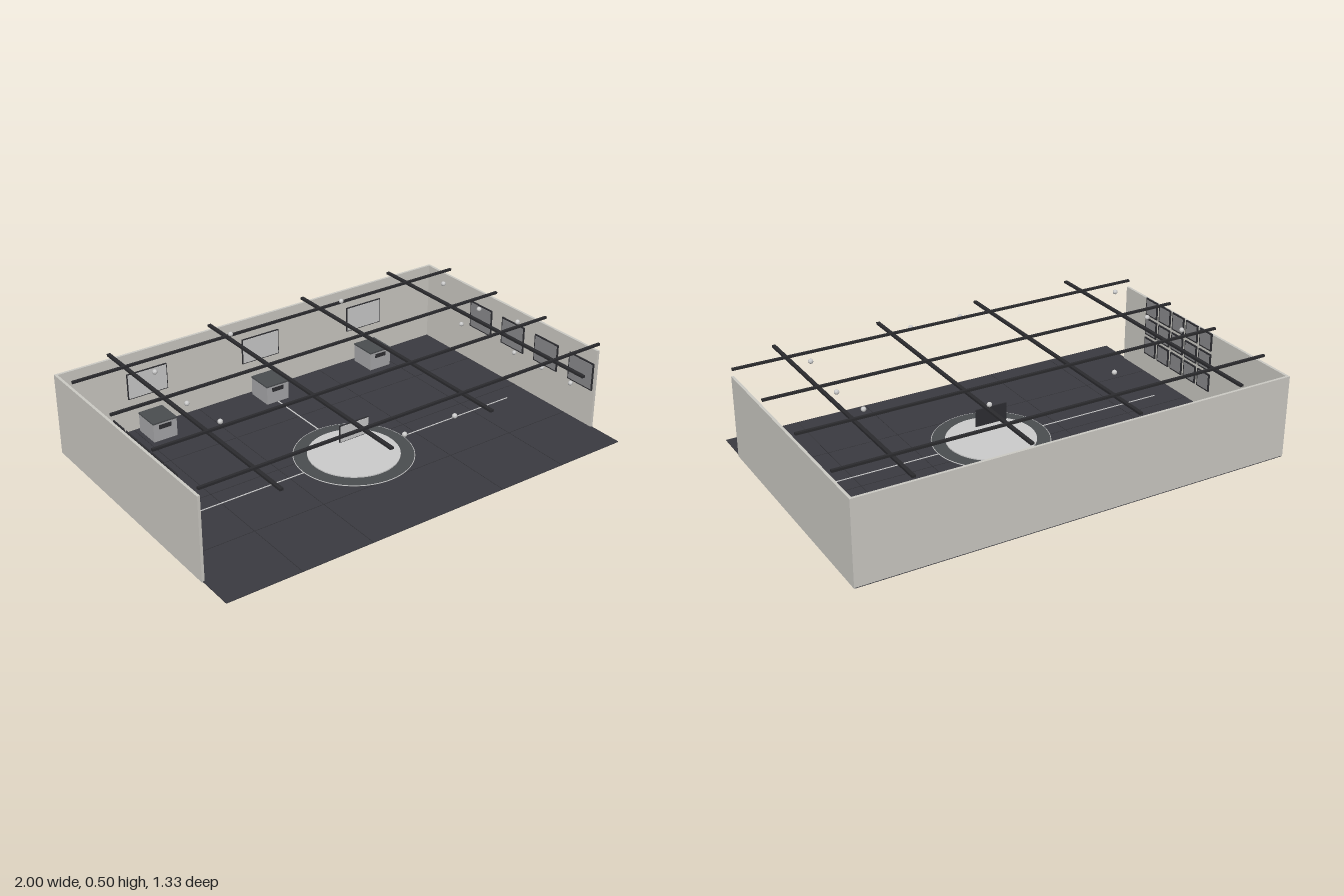
import * as THREE from 'three';

export function createModel() {
  const root = new THREE.Group();
  const mat = (color, flatShading = false) => new THREE.MeshStandardMaterial({ color, flatShading });
  const wallMat = mat(0xcccac4), floorMat = mat(0x3a3a40), seamMat = mat(0x303035);
  const beamMat = mat(0x2b2b2e), frameMat = mat(0x2e2e32), screenMat = mat(0xe0e0e0);
  const ringMat = mat(0x4a4d50), paleMat = mat(0xcccccc), consoleMat = mat(0xa8a8aa);
  const panelMat = mat(0x8a8a8c), bulbMat = mat(0xcccccc, true);

  const add = (name, geometry, material, x, y, z, parent = root) => {
    const mesh = new THREE.Mesh(geometry, material);
    mesh.name = name;
    mesh.position.set(x, y, z);
    parent.add(mesh);
    return mesh;
  };
  const box = (name, m, w, h, d, x, y, z, parent) =>
    add(name, new THREE.BoxGeometry(w, h, d), m, x, y, z, parent);

  const CZ = 0.083; // centre of the display area

  // Floor with tile seams
  box('floor', floorMat, 1.99, 0.003, 1.326, 0, 0.0015, 0);
  for (const x of [-0.66, -0.33, 0.33, 0.66]) box('floorSeam', seamMat, 0.003, 0.0006, 1.32, x, 0.0031, 0);
  for (const z of [-0.33, 0, 0.33]) box('floorSeam', seamMat, 1.98, 0.0006, 0.003, 0, 0.0031, z);

  // Walls
  box('backWall', wallMat, 2, 0.375, 0.012, 0, 0.1875, -0.657);
  for (const s of [-1, 1]) box('sideWall', wallMat, 0.012, 0.375, 1.151, s * 0.994, 0.1875, -0.0755);

  // Ceiling grid
  for (const x of [-0.745, -0.248, 0.248, 0.745])
    box('lengthwiseBeam', beamMat, 0.016, 0.01, 1.326, x, 0.394, 0);
  for (const z of [-0.498, -0.166, 0.166, 0.498])
    box('crossBeam', beamMat, 1.99, 0.01, 0.012, 0, 0.407, z);

  // Round platform: ring, bright rim, raised disc
  add('platformRing', new THREE.CylinderGeometry(0.258, 0.258, 0.009, 64), ringMat, 0, 0.0045, CZ);
  const rim = add('platformRim', new THREE.TorusGeometry(0.26, 0.002, 6, 64), paleMat, 0, 0.007, CZ);
  rim.rotation.x = Math.PI / 2;
  add('platformDisc', new THREE.CylinderGeometry(0.2, 0.2, 0.014, 64), paleMat, 0, 0.007, CZ);

  // Guide strips set on the floor
  for (const s of [-1, 1]) box('sideStrip', paleMat, 0.61, 0.002, 0.005, s * 0.565, 0.004, CZ);
  box('rearStrip', paleMat, 0.006, 0.002, 0.33, 0, 0.004, -0.335);

  // Framed panel, facing +z until turned
  const framed = (name, w, h, border, face, x, y, z, turn = 0) => {
    const group = new THREE.Group();
    group.name = name;
    box('frame', frameMat, w, h, 0.006, 0, 0, 0, group);
    box('face', face, w - border, h - border, 0.003, 0, 0, 0.0028, group);
    group.position.set(x, y, z);
    group.rotation.y = turn;
    root.add(group);
    return group;
  };

  // Floating sign over the platform
  const sign = framed('floatingSign', 0.15, 0.08, 0.006, screenMat, 0, 0.126, CZ);
  sign.children[0].scale.z = 0.9;

  // Rear stations: console with wall screen above
  for (const x of [-0.583, 0, 0.583]) {
    const station = new THREE.Group();
    station.name = 'console';
    box('body', consoleMat, 0.115, 0.088, 0.128, 0, 0.044, 0, station);
    box('top', ringMat, 0.118, 0.007, 0.13, 0, 0.0915, 0, station);
    box('slot', frameMat, 0.06, 0.02, 0.004, 0, 0.07, 0.064, station);
    station.position.set(x, 0, -0.566);
    root.add(station);
    framed('wallScreen', 0.196, 0.122, 0.008, screenMat, x, 0.226, -0.64);
  }

  // Grid of small panels on the right wall
  for (let col = 0; col < 5; col++)
    for (let row = 0; row < 3; row++)
      framed('smallPanel', 0.086, 0.084, 0.014, panelMat, -0.984, 0.14 + row * 0.099, CZ + (col - 2) * 0.102, Math.PI / 2);

  // Pictures and small lamps on the left wall
  for (let i = 0; i < 4; i++) {
    const z = CZ + (i - 1.5) * 0.222;
    framed('wallPicture', 0.15, 0.13, 0.012, panelMat, 0.984, 0.245, z, -Math.PI / 2);
  }
  const bulb = new THREE.IcosahedronGeometry(0.011, 1);
  for (const z of [-0.377, 0, 0.185, 0.37]) add('wallLamp', bulb, bulbMat, 0.974, 0.17, z);

  // Hanging bulbs, mirrored left and right
  const spots = [[0.125, 0.376, 0.582], [0.29, 0.46, -0.412], [0.745, 0.485, 0.25], [0.745, 0.452, 0], [0.745, 0.485, -0.25]];
  for (const [x, y, z] of spots)
    for (const s of [-1, 1]) add('bulb', bulb, bulbMat, s * x, y, z);

  return root;
}
